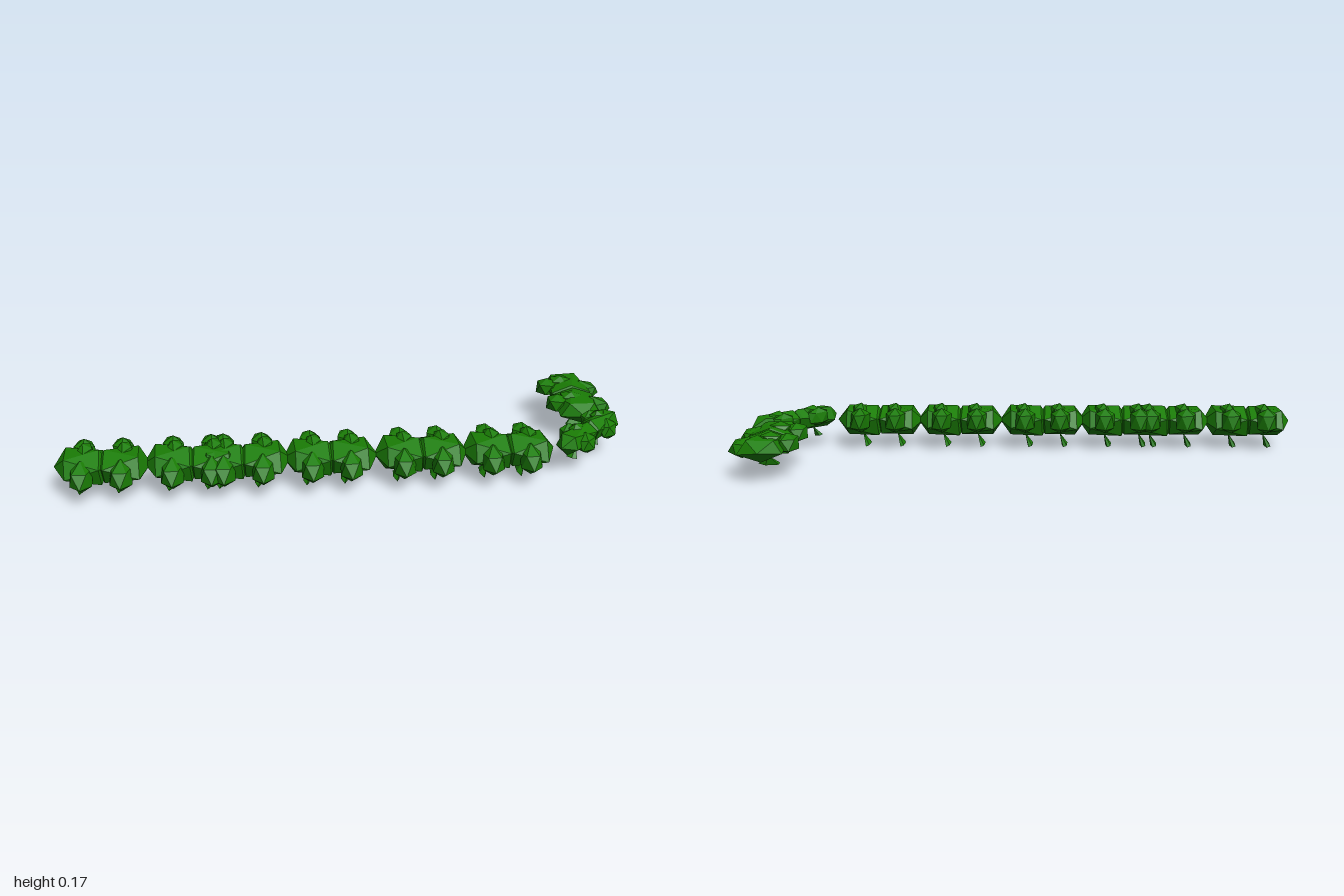
import * as THREE from 'three';

const leafMat = new THREE.MeshStandardMaterial({ color: 0x1a7d05, flatShading: true, side: THREE.DoubleSide });

// Faceted clump of leaves: an irregular icosahedron with its poles on z.
// A bluntness below 1 pushes the rings outwards, towards the poles.
function clumpGeometry(seed, bluntness) {
  const geo = new THREE.IcosahedronGeometry(1, 0);
  geo.rotateX(Math.atan(2 / (1 + Math.sqrt(5))));
  const p = geo.attributes.position;
  const v = new THREE.Vector3();
  for (let i = 0; i < p.count; i++) {
    v.fromBufferAttribute(p, i);
    // same corner always gets the same offset, so faces stay joined
    const k = Math.round(v.x * 50) * 3.1 + Math.round(v.y * 50) * 7.7 + Math.round(v.z * 50) * 5.3;
    v.z = Math.sign(v.z) * Math.abs(v.z) ** bluntness;
    v.multiplyScalar(1 + 0.06 * Math.sin(k + seed));
    p.setXYZ(i, v.x, v.y, v.z);
  }
  geo.computeVertexNormals();
  return geo;
}

const bodyGeo = clumpGeometry(1, 0.55);
const frontGeo = clumpGeometry(2.3, 1);
const backGeo = clumpGeometry(4.1, 0.8);
const stemGeo = new THREE.ConeGeometry(1, 1, 5);

function addPart(parent, name, geo, size, pos, rot = [0, 0, 0]) {
  const mesh = new THREE.Mesh(geo, leafMat);
  mesh.name = name;
  mesh.scale.set(...size);
  mesh.position.set(...pos);
  mesh.rotation.set(...rot);
  parent.add(mesh);
}

// One bush: two matching halves, each with a body and smaller tufts.
function createBush(name) {
  const bush = new THREE.Group();
  bush.name = name;
  for (const s of [-1, 1]) {
    const x = s * 0.065;
    addPart(bush, 'bushBody', bodyGeo, [0.093, 0.065, 0.092], [s * 0.064, 0.097, 0], [0, s * Math.PI / 2, 0]);
    addPart(bush, 'frontTuft', frontGeo, [0.044, 0.052, 0.068], [x, 0.088, 0.068], [0.3, 0, 0]);
    addPart(bush, 'backTuft', backGeo, [0.041, 0.045, 0.048], [x, 0.11, -0.08], [Math.PI / 2, 0, 0]);
    addPart(bush, 'crownTuft', frontGeo, [0.033, 0.05, 0.032], [x + 0.008, 0.133, -0.025], [Math.PI / 2, 0.2, 0]);
    addPart(bush, 'stem', stemGeo, [0.012, 0.05, 0.042], [x - 0.008, 0.027, -0.01], [0, 0, -0.4]);
  }
  return bush;
}

export function createModel() {
  const hedge = new THREE.Group();
  hedge.name = 'hedge';

  // Long straight run
  for (const x of [-0.843, -0.545, -0.375, -0.08, 0.23, 0.532]) {
    const bush = createBush('straightBush');
    bush.position.set(x, 0, 0.225);
    hedge.add(bush);
  }

  // Narrow bush across the corner
  const corner = createBush('cornerBush');
  corner.position.set(0.838, 0.04, 0.142);
  corner.rotation.y = Math.PI / 4;
  corner.scale.set(1.15, 0.73, 0.52);
  hedge.add(corner);

  // Short return run
  const end = createBush('endBush');
  end.position.set(0.863, 0.04, -0.17);
  end.rotation.y = Math.PI / 2;
  end.scale.set(1.19, 0.73, 0.96);
  hedge.add(end);

  return hedge;
}
